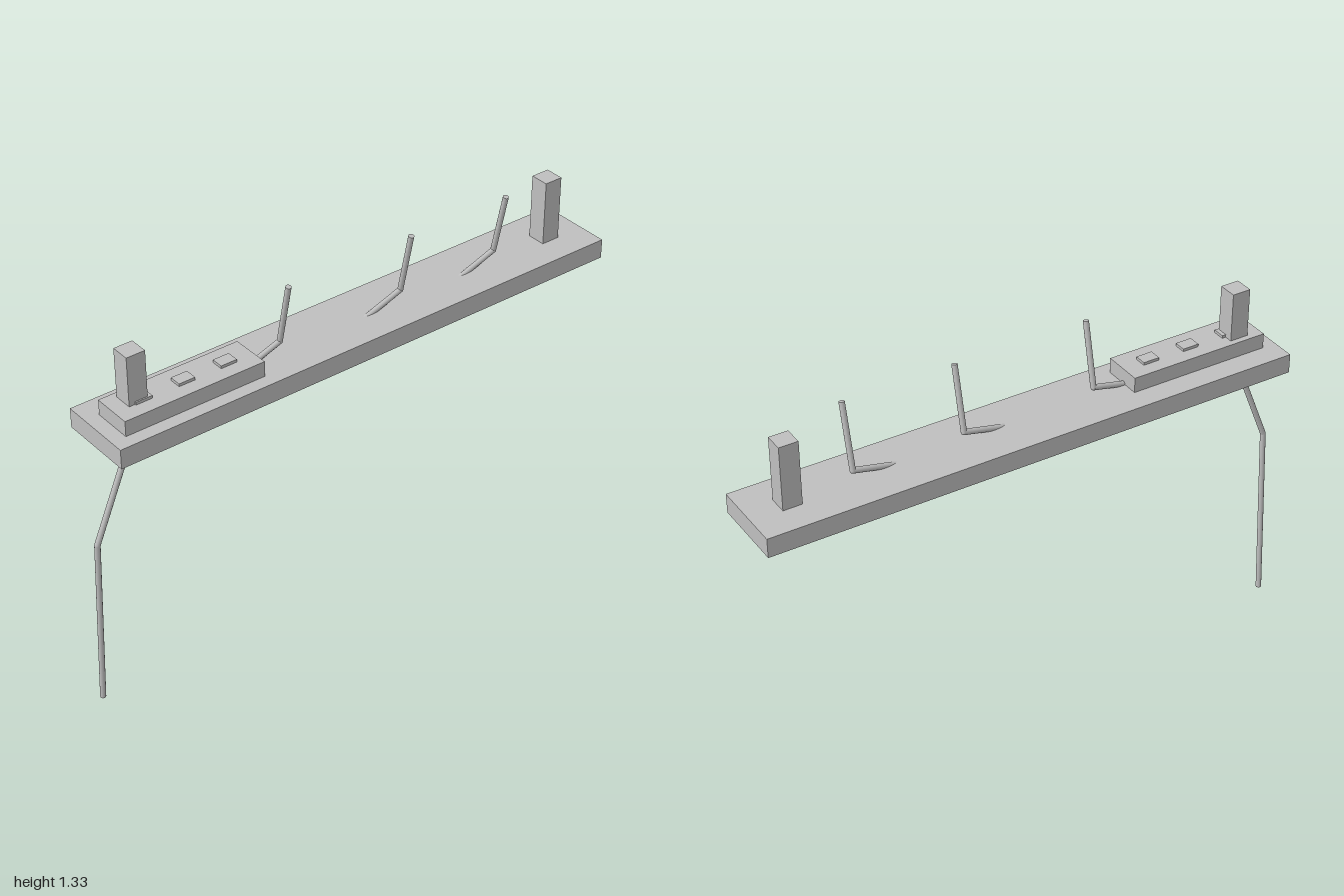
import * as THREE from 'three';

export function createModel() {
  const model = new THREE.Group();
  const grey = new THREE.MeshStandardMaterial({ color: 0xbfbfbf });
  grey.name = 'plain grey';

  // Box given by its limits on each axis
  function box(name, x0, x1, y0, y1, z0, z1) {
    const mesh = new THREE.Mesh(new THREE.BoxGeometry(x1 - x0, y1 - y0, z1 - z0), grey);
    mesh.name = name;
    mesh.position.set((x0 + x1) / 2, (y0 + y1) / 2, (z0 + z1) / 2);
    model.add(mesh);
  }

  // Thin round rod through a list of points, with rounded bends
  function bentRod(name, points, radius) {
    const rod = new THREE.Group();
    rod.name = name;
    const p = points.map((c) => new THREE.Vector3(...c));
    for (let i = 0; i < p.length - 1; i++) {
      const dir = p[i + 1].clone().sub(p[i]);
      const part = new THREE.Mesh(new THREE.CylinderGeometry(radius, radius, dir.length(), 12), grey);
      part.name = name + 'Segment';
      part.position.copy(p[i]).addScaledVector(dir, 0.5);
      part.quaternion.setFromUnitVectors(new THREE.Vector3(0, 1, 0), dir.normalize());
      rod.add(part);
      if (i > 0) {
        const bend = new THREE.Mesh(new THREE.SphereGeometry(radius, 12, 8), grey);
        bend.name = name + 'Bend';
        bend.position.copy(p[i]);
        rod.add(bend);
      }
    }
    model.add(rod);
  }

  // Long board and the raised slab on it
  box('board', -0.957, 1.0, 1.0, 1.07, -0.138, 0.138);
  box('slab', -0.905, -0.385, 1.07, 1.125, -0.055, 0.09);

  // Square posts near both ends
  for (const x of [-0.818, 0.858]) box('post', x - 0.034, x + 0.034, 1.07, 1.302, -0.034, 0.034);

  // Small raised buttons on the slab
  for (const x of [-0.8, -0.642, -0.484]) box('button', x - 0.03, x + 0.03, 1.12, 1.135, -0.005, 0.039);

  // Bent pegs rising from the board
  for (const x of [-0.26, 0.23, 0.63]) {
    bentRod('peg', [[x - 0.19, 1.052, 0.015], [x, 1.103, 0.0], [x, 1.33, 0.051]], 0.01);
  }

  // Single bent leg
  bentRod('leg', [[-0.845, 1.03, 0.034], [-0.99, 0.652, 0.019], [-0.99, 0.001, -0.017]], 0.01);

  return model;
}
